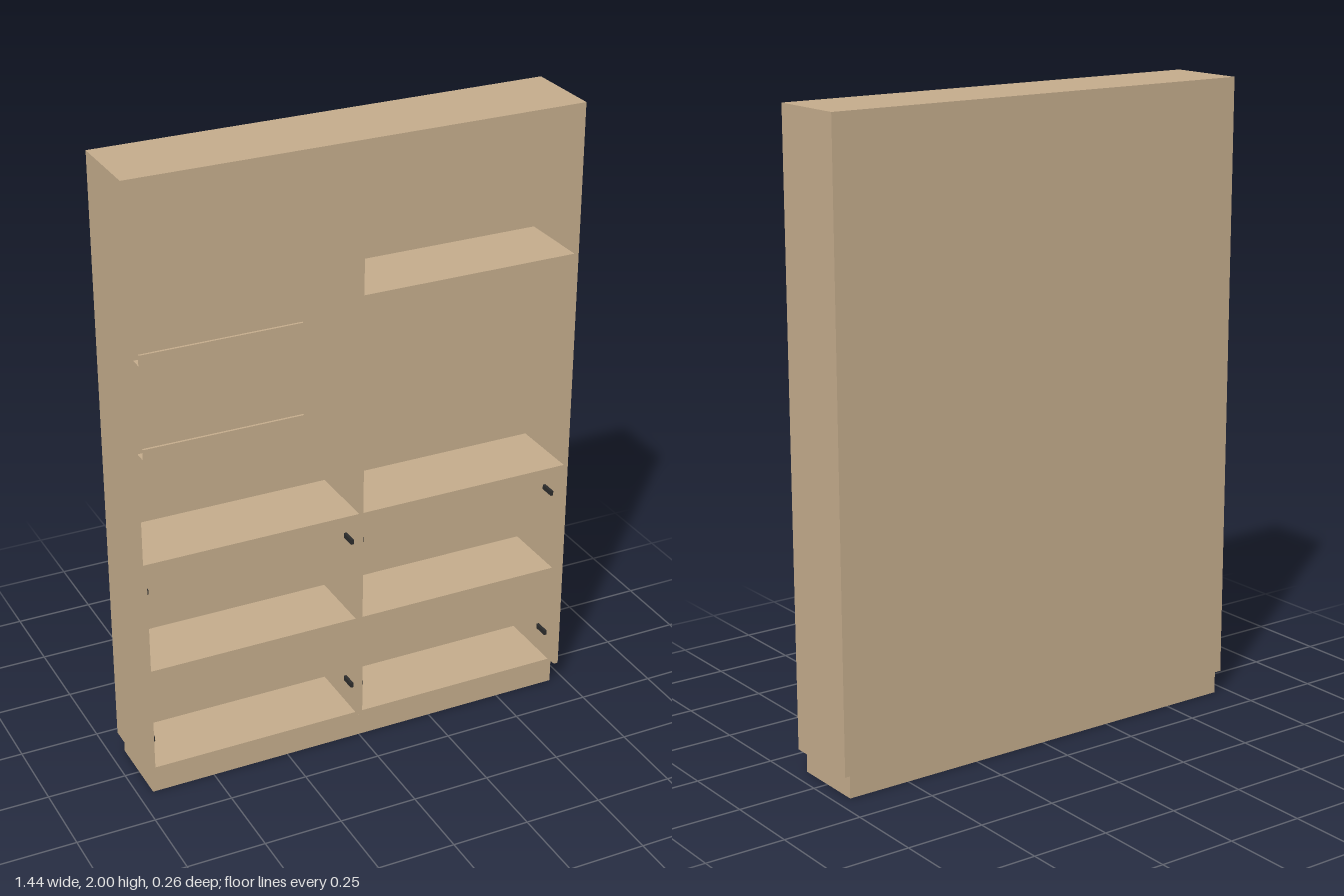
import * as THREE from 'three';

const wood = new THREE.MeshStandardMaterial({ color: 0xc3ab8b });
wood.name = 'wood';
const black = new THREE.MeshStandardMaterial({ color: 0x2b2b2b });
black.name = 'black';

// Box given by its extents on each axis
function board(parent, name, x0, x1, y0, y1, z0, z1, material = wood) {
  const mesh = new THREE.Mesh(new THREE.BoxGeometry(x1 - x0, y1 - y0, z1 - z0), material);
  mesh.position.set((x0 + x1) / 2, (y0 + y1) / 2, (z0 + z1) / 2);
  mesh.name = name;
  parent.add(mesh);
  return mesh;
}

export function createModel() {
  const group = new THREE.Group();
  group.name = 'shelvingUnit';
  const W = 0.722, IN = 0.707, FRONT = 0.13, BACK = -0.13, INNER = -0.11;
  const BASE = 0.072, TOP = 2;

  // Outer shell
  board(group, 'leftSide', IN, W, BASE, TOP, BACK, FRONT);
  board(group, 'rightSide', -W, -IN, BASE, TOP, BACK, FRONT);
  board(group, 'topPanel', -IN, IN, TOP - 0.012, TOP, BACK, FRONT);
  board(group, 'backPanel', -IN, IN, BASE, TOP - 0.012, BACK, INNER);

  // Upper bookcase
  board(group, 'counter', -IN, IN, 0.8, 0.812, INNER, FRONT);
  board(group, 'divider', -0.009, 0.006, 0.812, TOP - 0.012, INNER, FRONT);
  board(group, 'upperShelf', 0.006, IN, 1.515, 1.528, INNER, FRONT);

  // Narrow ledges on the back wall
  for (const y of [1.035, 1.34]) {
    board(group, 'ledgeLip', -0.62, -0.1, y, y + 0.045, -0.068, -0.06);
    board(group, 'ledgeBase', -0.62, -0.1, y, y + 0.008, INNER, -0.068);
  }

  // Two slightly recessed base cabinets with hinges
  const CF = 0.115;
  for (const s of [-1, 1]) {
    const cab = new THREE.Group();
    cab.name = s > 0 ? 'leftCabinet' : 'rightCabinet';
    group.add(cab);
    const across = (name, a, b, ...rest) =>
      board(cab, name, Math.min(s * a, s * b), Math.max(s * a, s * b), ...rest);
    across('outerWall', 0.692, IN, BASE, 0.8, INNER, CF);
    across('innerWall', 0.0005, 0.012, BASE, 0.8, INNER, CF);
    across('cabinetTop', 0.012, 0.692, 0.788, 0.8, INNER, CF);
    across('cabinetShelf', 0.012, 0.692, 0.423, 0.434, INNER, CF);
    across('cabinetFloor', 0.012, 0.692, BASE, 0.087, INNER, CF);
    for (const y of [0.18, 0.7]) {
      across('outerHinge', 0.683, 0.692, y - 0.008, y + 0.008, 0.05, 0.1, black);
      across('innerHinge', 0.012, 0.021, y - 0.008, y + 0.008, 0.05, 0.1, black);
    }
  }

  // Hollow plinth frame
  const P = 0.703, PB = -0.125, t = 0.012;
  board(group, 'plinthFront', -P, P, 0, BASE, CF - t, CF);
  board(group, 'plinthBack', -P, P, 0, BASE, PB, PB + t);
  for (const s of [-1, 1]) {
    board(group, 'plinthSide', s * (P - t / 2) - t / 2, s * (P - t / 2) + t / 2, 0, BASE, PB + t, CF - t);
  }

  // Feet inside the plinth
  const footShape = new THREE.CylinderGeometry(0.016, 0.016, BASE, 16);
  for (const x of [-0.67, -0.035, 0.035, 0.67]) {
    for (const z of [-0.092, 0.055]) {
      const foot = new THREE.Mesh(footShape, black);
      foot.name = 'foot';
      foot.position.set(x, BASE / 2, z);
      group.add(foot);
    }
  }
  return group;
}
